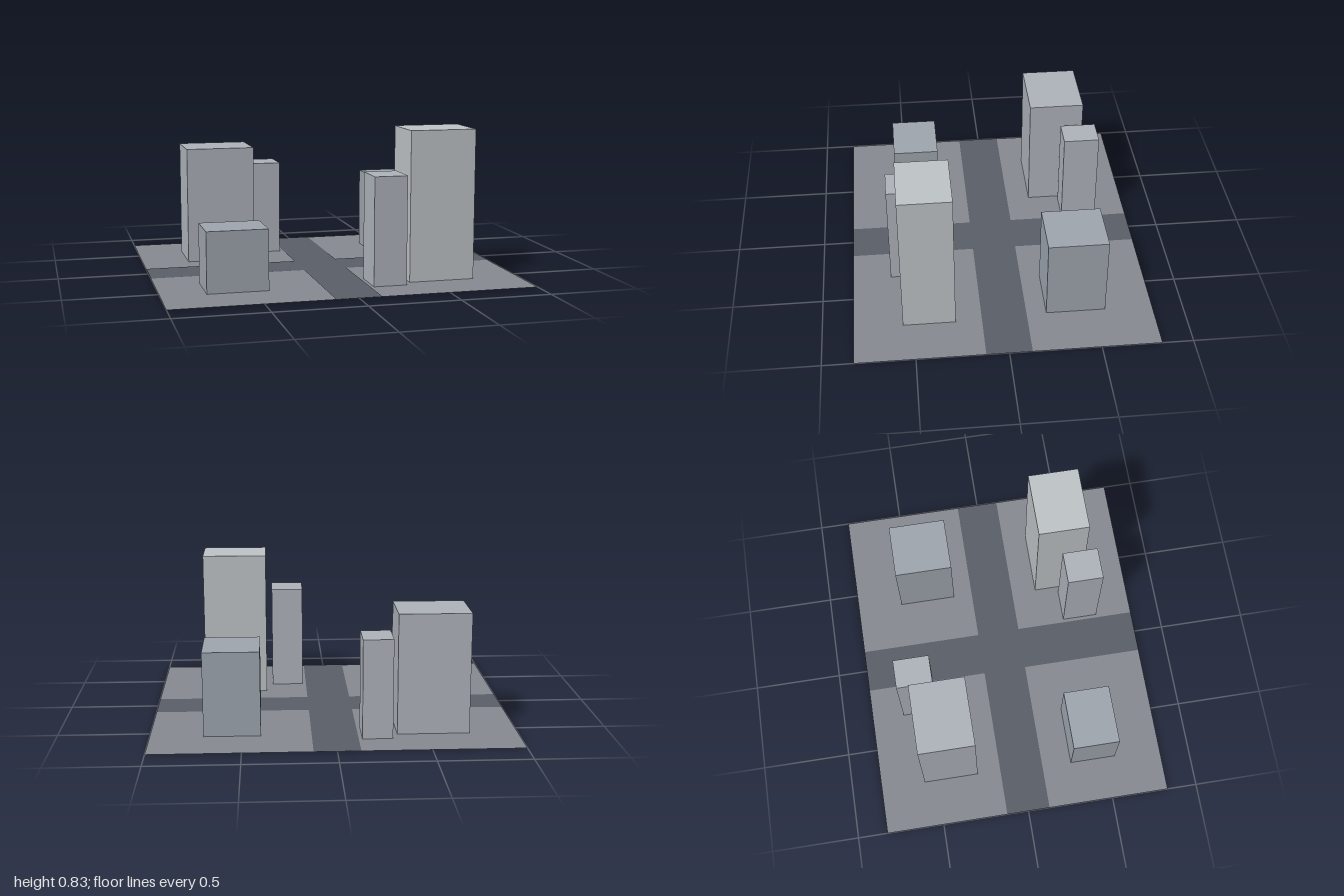
import * as THREE from 'three';

const HALF_X = 1, HALF_Z = 0.83, ROAD = 0.125;

// Each tower: [name, x min, x max, z min, z max, height, color]
const TOWERS = [
  ['backRightTower', -0.735, -0.34, -0.575, -0.26, 0.67, 0xb0b5bd],
  ['backRightAnnex', -0.31, -0.145, -0.645, -0.44, 0.55, 0xb0b5bd],
  ['backLeftBlock', 0.4, 0.71, -0.565, -0.235, 0.47, 0xa0a7b0],
  ['frontRightBlock', -0.755, -0.42, 0.295, 0.56, 0.335, 0xa0a7b0],
  ['frontLeftAnnex', 0.145, 0.33, 0.41, 0.615, 0.6, 0xb0b5bd],
  ['frontLeftTower', 0.365, 0.735, 0.27, 0.56, 0.835, 0xc0c5c8],
];

function part(name, geometry, color) {
  const material = new THREE.MeshStandardMaterial({ color });
  const mesh = new THREE.Mesh(geometry, material);
  mesh.name = name;
  return mesh;
}

export function createModel() {
  const city = new THREE.Group();
  city.name = 'cityBlocks';

  // Thin ground sheet
  const ground = part('ground', new THREE.PlaneGeometry(HALF_X * 2, HALF_Z * 2).rotateX(-Math.PI / 2), 0x888c92);
  ground.material.side = THREE.DoubleSide;
  city.add(ground);

  // Crossroads: one cross-shaped sheet just above the ground
  const cross = new THREE.Shape([
    [-HALF_X, -ROAD], [-ROAD, -ROAD], [-ROAD, -HALF_Z], [ROAD, -HALF_Z], [ROAD, -ROAD], [HALF_X, -ROAD],
    [HALF_X, ROAD], [ROAD, ROAD], [ROAD, HALF_Z], [-ROAD, HALF_Z], [-ROAD, ROAD], [-HALF_X, ROAD],
  ].map(([x, y]) => new THREE.Vector2(x, y)));
  const roads = part('crossroads', new THREE.ShapeGeometry(cross).rotateX(-Math.PI / 2), 0x5b6068);
  roads.position.y = 0.002;
  city.add(roads);

  // Buildings, set a hair above the ground sheet
  const base = 0.001;
  for (const [name, x0, x1, z0, z1, h, color] of TOWERS) {
    const tower = part(name, new THREE.BoxGeometry(x1 - x0, h - base, z1 - z0), color);
    tower.position.set((x0 + x1) / 2, (h + base) / 2, (z0 + z1) / 2);
    city.add(tower);
  }
  return city;
}
